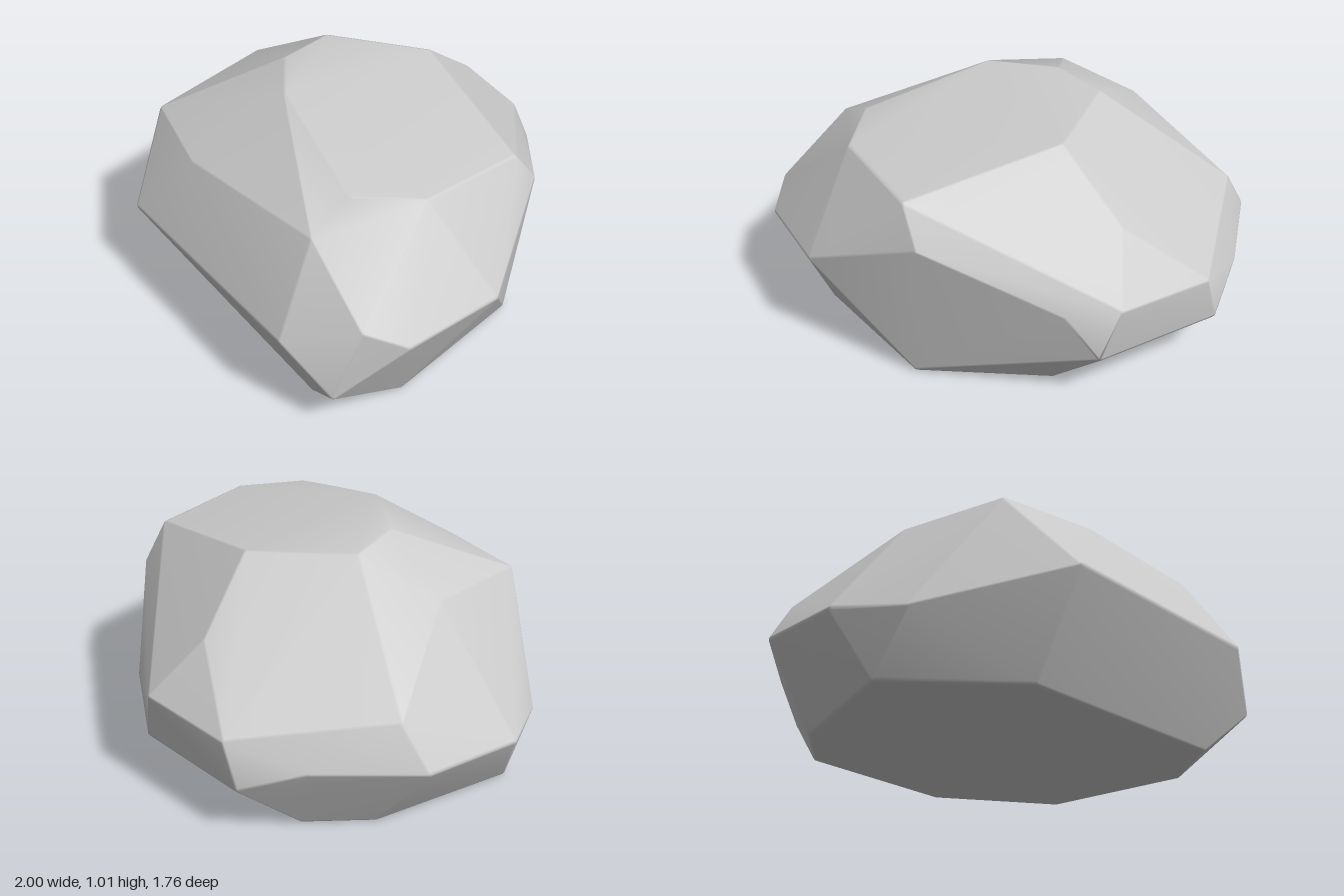
import * as THREE from 'three';
import { ConvexGeometry } from 'three/addons/geometries/ConvexGeometry.js';
import { mergeVertices } from 'three/addons/utils/BufferGeometryUtils.js';

const ROUNDING = 0.022;

// Corners of the boulder, ring by ring from the ground up
const base = [
  [0.59, 0, 0.7], [0.8, 0, 0.42], [0.73, 0, -0.24], [0.26, 0, -0.59],
  [-0.46, 0, -0.61], [-0.68, 0, -0.39], [-0.88, 0, 0.22], [-0.44, 0, 0.64],
];
const lowerRing = [
  [0.81, 0.21, 0.78], [0.2, 0.25, -0.84], [-0.36, 0.26, -0.87],
  [-0.59, 0.36, -0.71], [-0.92, 0.34, -0.37], [-1, 0.29, 0.1], [-0.88, 0.25, 0.4],
];
const girdle = [
  [-0.43, 0.43, 0.86], [0.62, 0.43, 0.88], [0.87, 0.53, 0.68], [0.98, 0.46, 0.55],
  [1.01, 0.48, 0.12], [0.32, 0.46, -0.77], [0.13, 0.48, -0.88],
  [-0.3, 0.46, -0.88], [-0.8, 0.53, -0.4],
];
const shoulder = [
  [-0.58, 0.75, 0.61], [-0.18, 0.74, 0.72], [0.56, 0.78, 0.67], [0.55, 0.87, 0.48],
  [0.74, 0.86, 0.25], [0.74, 0.84, -0.23], [0.75, 0.69, -0.34],
  [0, 0.71, -0.69], [-0.61, 0.81, 0.07],
];
const crown = [[-0.01, 1.01, 0.36], [0.08, 0.97, -0.37], [-0.26, 0.99, 0.17], [-0.3, 0.98, -0.09]];

// Wrap a tiny sphere at every corner, so that all edges are slightly worn
function wornHull(corners, radius) {
  const ball = mergeVertices(new THREE.IcosahedronGeometry(radius, 1).deleteAttribute('normal').deleteAttribute('uv'));
  const ballPos = ball.getAttribute('position');
  const centre = new THREE.Vector3(0, 0.45, 0);
  const points = [];
  for (const c of corners) {
    const p = new THREE.Vector3(...c);
    p.addScaledVector(centre.clone().sub(p).normalize(), radius * 1.2);
    if (c[1] === 0) p.y = radius;
    for (let i = 0; i < ballPos.count; i++) {
      points.push(new THREE.Vector3().fromBufferAttribute(ballPos, i).add(p));
    }
  }
  // Shared normals weighted by area: large facets stay flat, edges turn softly
  const hull = new ConvexGeometry(points);
  hull.deleteAttribute('normal');
  const geometry = mergeVertices(hull, 1e-5);
  geometry.computeVertexNormals();
  return geometry;
}

export function createModel() {
  const group = new THREE.Group();
  group.name = 'rock';
  const boulder = new THREE.Mesh(
    wornHull([...base, ...lowerRing, ...girdle, ...shoulder, ...crown], ROUNDING),
    new THREE.MeshStandardMaterial({ color: 0xcccccc }),
  );
  boulder.name = 'boulder';
  group.add(boulder);
  return group;
}
